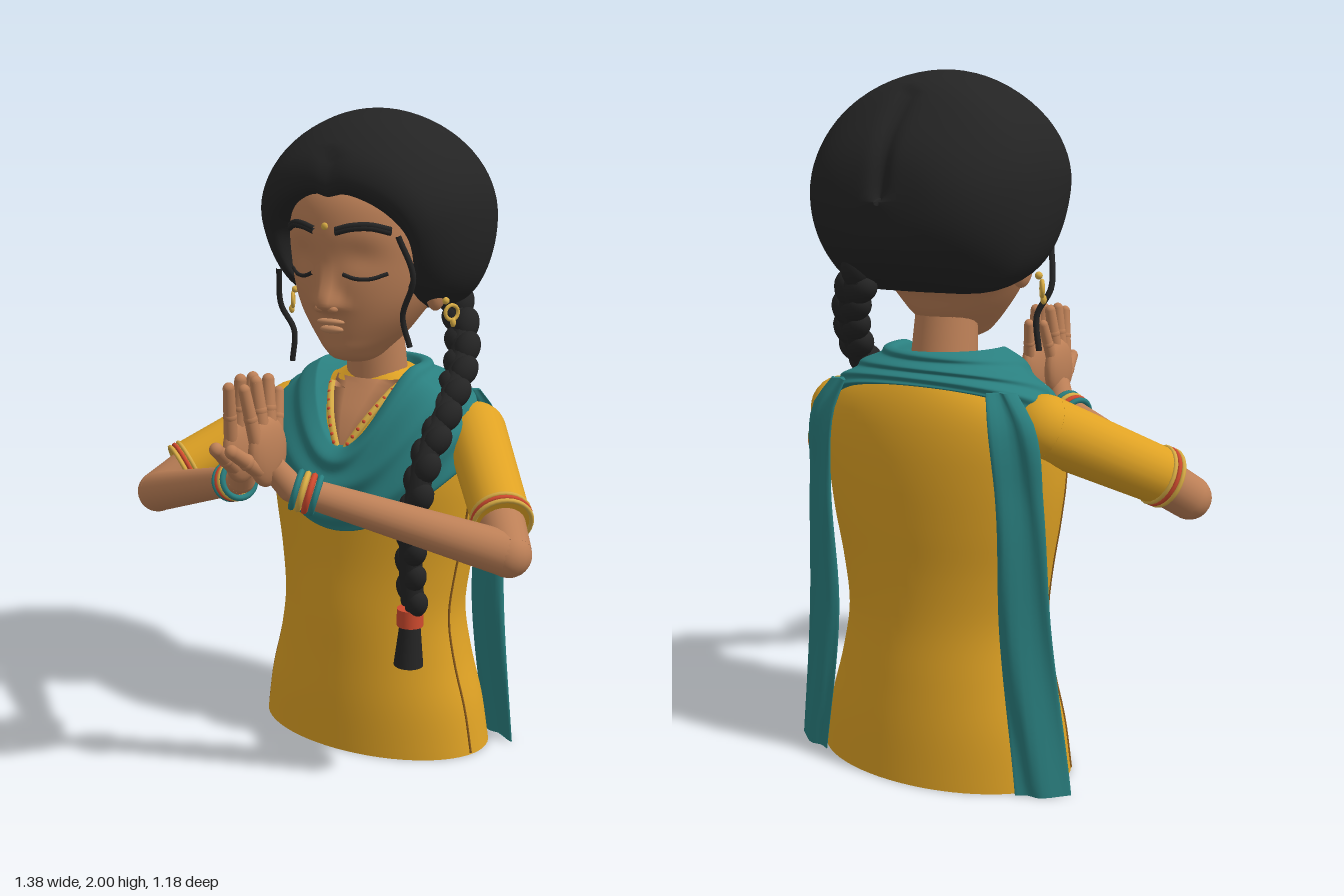
import * as THREE from 'three';

const mat = (name, color, side = THREE.FrontSide) => {
  const m = new THREE.MeshStandardMaterial({ color, side });
  m.name = name;
  return m;
};
const V = (x, y, z) => new THREE.Vector3(x, y, z);
const gauss = (d, w) => Math.exp(-(d * d) / (w * w));

// Smooth interpolation of rows [key, a, b, ...]
function rowCurve(rows) {
  const n = rows[0].length - 1;
  const c = new THREE.CubicInterpolant(
    new Float32Array(rows.map(r => r[0])), new Float32Array(rows.flatMap(r => r.slice(1))), n);
  return t => Array.from(c.evaluate(t));
}

// Skin closed rings of points into a surface, optionally capped
function loft(rings, capStart = false, capEnd = false) {
  const n = rings[0].length, pos = [], idx = [];
  rings.forEach(r => r.forEach(p => pos.push(p.x, p.y, p.z)));
  for (let i = 0; i < rings.length - 1; i++) for (let j = 0; j < n; j++) {
    const k = (j + 1) % n, a = i * n + j, b = i * n + k, c = a + n, d = b + n;
    idx.push(a, b, c, b, d, c);
  }
  const cap = (ring, flip) => {
    const base = pos.length / 3, mid = V(0, 0, 0);
    ring.forEach(p => { pos.push(p.x, p.y, p.z); mid.addScaledVector(p, 1 / n); });
    pos.push(mid.x, mid.y, mid.z);
    for (let j = 0; j < n; j++) {
      const a = base + j, b = base + (j + 1) % n;
      flip ? idx.push(b, a, base + n) : idx.push(a, b, base + n);
    }
  };
  if (capStart) cap(rings[0], true);
  if (capEnd) cap(rings[rings.length - 1], false);
  const g = new THREE.BufferGeometry();
  g.setAttribute('position', new THREE.Float32BufferAttribute(pos, 3));
  g.setIndex(idx);
  g.computeVertexNormals();
  return g;
}
const ringOf = (n, f) => Array.from({ length: n }, (_, j) => f((j / n) * Math.PI * 2));
const steps = (n, f) => Array.from({ length: n + 1 }, (_, i) => f(i / n));

// Rows: height, half width, front z, back z
const torsoAt = rowCurve([
  [0, .4, .01, -.5], [.15, .375, .01, -.49], [.3, .335, .005, -.475], [.45, .313, 0, -.46],
  [.6, .33, -.01, -.46], [.75, .358, -.012, -.47], [.9, .375, -.01, -.475], [1, .37, -.03, -.47],
  [1.08, .33, -.07, -.455], [1.14, .25, -.115, -.43], [1.18, .16, -.145, -.4], [1.21, .1, -.16, -.37]]);
const headAt = rowCurve([
  [1.245, .03, -.09, -.2], [1.26, .06, -.025, -.23], [1.285, .085, .008, -.27], [1.33, .128, .025, -.32],
  [1.39, .175, .04, -.36], [1.45, .21, .052, -.42], [1.55, .236, .062, -.46], [1.65, .24, .07, -.47],
  [1.75, .22, .05, -.45], [1.85, .14, -.03, -.4]]);

// Front surface depth at x, y
function frontZ(at, x, y) {
  const [rx, zf, zb] = at(y);
  return (zf + zb) / 2 + (zf - zb) / 2 * Math.sqrt(Math.max(0, 1 - (x / rx) ** 2));
}
const nose = (x, y) => .05 * gauss(x, .02 + .016 * gauss(y - 1.43, .04)) *
  (y < 1.435 ? gauss(y - 1.435, .02) : gauss(y - 1.435, .085));
const socket = (x, y) => -.012 * gauss(Math.abs(x) - .1, .055) * gauss(y - 1.58, .045);
const faceZ = (x, y) => frontZ(headAt, x, y) + nose(x, y) + socket(x, y);

export function createModel() {
  const model = new THREE.Group();
  model.name = 'prayingWoman';
  const skin = mat('skin', 0xbd8057), lip = mat('lips', 0xc58a60), black = mat('hair', 0x242424);
  const yellow = mat('tunic', 0xdfa224), teal = mat('shawl', 0x2a7f7f, THREE.DoubleSide);
  const red = mat('red', 0xcf4a2e), gold = mat('gold', 0xd9ad45), seam = mat('seam', 0x8a5a1c);

  const add = (name, geo, m, parent = model) => {
    const o = new THREE.Mesh(geo, m);
    o.name = name;
    parent.add(o);
    return o;
  };
  const ball = (name, p, rx, ry, rz, m, parent) => {
    const o = add(name, new THREE.SphereGeometry(1, 20, 14), m, parent);
    o.position.copy(p);
    o.scale.set(rx, ry, rz);
    return o;
  };
  const align = (o, dir, axis) => o.quaternion.setFromUnitVectors(axis, dir.clone().normalize());
  const limb = (name, a, b, r0, r1, m, parent) => {
    const d = b.clone().sub(a);
    const o = add(name, new THREE.CylinderGeometry(r1, r0, d.length(), 24), m, parent);
    o.position.copy(a).addScaledVector(d, .5);
    align(o, d, V(0, 1, 0));
    return o;
  };
  const hoop = (name, p, dir, r, t, m, parent) => {
    const o = add(name, new THREE.TorusGeometry(r, t, 8, 32), m, parent);
    o.position.copy(p);
    align(o, dir, V(0, 0, 1));
    return o;
  };
  const tube = (name, pts, r, m, parent) =>
    add(name, new THREE.TubeGeometry(new THREE.CatmullRomCurve3(pts), 24, r, 8), m, parent);

  // Torso and neck
  const oval = (at, y, bump) => ringOf(64, a => {
    const [rx, zf, zb] = at(y), x = rx * Math.sin(a), c = Math.cos(a);
    return V(x, y, (zf + zb) / 2 + (zf - zb) / 2 * c + (bump && c > 0 ? bump(x, y) : 0));
  });
  add('tunic', loft(steps(40, t => oval(torsoAt, t * 1.21)), true, true), yellow);
  limb('neck', V(0, 1.12, -.25), V(0, 1.36, -.22), .1, .088, skin);

  // Skin in the neckline, with a beaded border
  const vWidth = y => (y - .98) * .55;
  add('neckline', loft(steps(12, t => {
    const y = .985 + t * .2, w = vWidth(y);
    return [-1, -.5, 0, .5, 1, .5, 0, -.5].map((u, i) =>
      V(u * w, y, frontZ(torsoAt, u * w, y) + (i > 4 ? -.01 : .004)));
  })), skin);
  for (const s of [1, -1]) {
    const edge = steps(8, t => {
      const y = .98 + t * .18, x = s * (vWidth(y) + .012);
      return V(x, y, frontZ(torsoAt, x, y) + .002);
    });
    tube('necklineBorder', edge, .012, gold);
    edge.forEach(p => ball('necklineBead', p.clone().add(V(0, 0, .011)), .006, .006, .005, red));
    tube('sideSeam', steps(16, t => {
      const y = .005 + t * .95, [rx, zf, zb] = torsoAt(y);
      return V(s * rx * .97, y, (zf + zb) / 2 + (zf - zb) / 2 * .243);
    }), .004, seam);
  }

  // Draped shawl; rows: step, half width, side y, front y, back y, front z, back z
  const shawlAt = rowCurve([
    [0, .13, 1.19, 1, 1.19, -.06, -.35], [1, .165, 1.235, .985, 1.235, .0, -.39],
    [2, .22, 1.195, .93, 1.215, .03, -.41], [3, .295, 1.125, .86, 1.19, .042, -.425],
    [4, .35, 1.045, .785, 1.17, .04, -.435], [5, .368, .965, .735, 1.15, .02, -.44],
    [6, .335, .95, .745, 1.14, -.04, -.41]]);
  add('shawl', loft(steps(60, t => ringOf(72, a => {
    const [rx, ys, yf, yb, zf, zb] = shawlAt(t * 6), c = Math.cos(a);
    const fold = .009 * Math.sin(t * 30 + Math.sin(a) * 1.5) * Math.sin(t * Math.PI);
    const y = c > 0 ? ys + (yf - ys) * c * c : ys + (yb - ys) * Math.sqrt(-c);
    return V((rx + fold) * Math.sin(a), y, (zf + zb) / 2 + ((zf - zb) / 2 + fold) * c);
  })).reverse()), teal);

  // Shawl ends; rows: height, inner x, inner z, outer x, outer z
  const tailAt = rowCurve([
    [0, .32, -.41, .457, -.345], [.45, .265, -.415, .408, -.355], [.85, .27, -.43, .387, -.365],
    [1.06, .25, -.43, .36, -.38], [1.14, .23, -.4, .3, -.37]]);
  for (const s of [1, -1]) add('shawlEnd', loft(steps(30, t => {
    const y = t * 1.14, [xi, zi, xo, zo] = tailAt(y);
    return ringOf(24, a => {
      const u = .5 + .5 * Math.cos(a);
      const wave = .01 * Math.sin(u * 8 + y * 4) + .013 * Math.sin(a);
      return V(s * (xi + (xo - xi) * u + wave * .3), y, zi + (zo - zi) * u + wave);
    });
  }), true, true), teal);

  // Head and face
  const head = new THREE.Group();
  head.name = 'head';
  model.add(head);
  add('face', loft(steps(70, t => oval(headAt, 1.245 + t * .605, (x, y) => nose(x, y) + socket(x, y))),
    true, true), skin, head);
  ball('upperLip', V(0, 1.383, .036), .048, .011, .016, lip, head);
  ball('lowerLip', V(0, 1.36, .03), .04, .013, .018, lip, head);
  ball('foreheadDot', V(0, 1.665, faceZ(0, 1.665)), .011, .011, .007, gold, head);
  for (const s of [1, -1]) {
    const onFace = (x, y) => V(s * x, y, faceZ(x, y) + .002);
    [0, .008].forEach(h => tube('eyebrow', [onFace(.035, 1.648 + h), onFace(.08, 1.66 + h),
      onFace(.13, 1.662 + h), onFace(.175, 1.648 + h)], .009, black, head));
    tube('eyelashes', [onFace(.052, 1.528), onFace(.085, 1.516), onFace(.125, 1.515), onFace(.165, 1.53)],
      .006, black, head);
    ball('nostril', V(s * .022, 1.425, .06), .016, .013, .018, skin, head);
    ball('ear', V(s * .225, 1.47, -.2), .03, .065, .045, skin, head);
    hoop('earring', V(s * .285, 1.405, -.19), V(1, 0, s * .6), .022, .006, gold, head);
    ball('earringStud', V(s * .27, 1.44, -.18), .011, .011, .011, gold, head);
    ball('earringDrop', V(s * .29, 1.375, -.19), .009, .014, .009, gold, head);
  }

  // Hair; rows: step, half width, top y, bottom y, top z, bottom z
  const hairAt = rowCurve([
    [0, .19, 1.73, 1.46, -.03, -.2], [1, .238, 1.775, 1.46, .058, -.1], [2, .285, 1.86, 1.455, .045, -.1],
    [3, .325, 1.94, 1.425, -.04, -.15], [4, .345, 1.985, 1.405, -.14, -.23], [5, .345, 2, 1.395, -.25, -.33],
    [6, .325, 1.962, 1.41, -.39, -.42], [7, .265, 1.87, 1.465, -.49, -.515], [8, .165, 1.775, 1.54, -.555, -.57],
    [9, .01, 1.66, 1.64, -.585, -.585]]);
  add('hair', loft(steps(54, t => ringOf(72, a => {
    const [w, yt, yb, zt, zb] = hairAt(t * 9), c = Math.cos(a), s = Math.sin(a);
    const x = w * Math.sign(c) * Math.abs(c) ** (s < 0 ? .4 + .6 * Math.max(0, t - .6) / .4 : 1);
    const peak = t < .25 ? -.02 * gauss(x, .03) * Math.max(0, s) : 0;
    const groove = t > .7 ? .018 * gauss(x, .025) * Math.max(0, s) : 0;
    return V(x, (yt + yb) / 2 + (yt - yb) / 2 * s + peak, (zt + zb) / 2 + (zt - zb) / 2 * s + groove);
  })).reverse(), true, true), black, head);
  tube('hairStrand', [V(-.25, 1.52, -.06), V(-.27, 1.4, -.1), V(-.235, 1.32, -.12), V(-.245, 1.22, -.125)],
    .009, black, head);
  tube('hairStrand', [V(.2, 1.64, -.01), V(.235, 1.52, -.04), V(.19, 1.4, -.06), V(.21, 1.31, -.07)],
    .009, black, head);

  // Braid of overlapping locks
  const braid = new THREE.Group();
  braid.name = 'braid';
  model.add(braid);
  const path = new THREE.CatmullRomCurve3([V(.13, 1.45, -.47), V(.2, 1.37, -.41), V(.265, 1.24, -.3),
    V(.29, 1.1, -.14), V(.285, .97, -.03), V(.265, .78, 0), V(.25, .65, -.02), V(.25, .53, -.035)]);
  add('braidCore', new THREE.TubeGeometry(path, 60, .036, 12), black, braid);
  const locks = 26;
  for (let i = 0; i <= locks; i++) {
    const t = i / locks, s = i % 2 ? 1 : -1, dir = path.getTangentAt(t);
    const across = V(1, 0, .4).cross(dir).cross(dir).normalize();
    const r = .043 - .008 * t;
    const o = ball('lock', path.getPointAt(t).addScaledVector(across, s * .018), r, r * 1.35, r, black, braid);
    align(o, dir.clone().addScaledVector(across, -s * .5), V(0, 1, 0));
  }
  limb('hairTie', V(.242, .455, -.035), V(.242, .51, -.035), .041, .041, red, braid);
  limb('braidTail', V(.238, .325, -.035), V(.242, .46, -.035), .046, .032, black, braid);

  // Arms with hands pressed together
  for (const s of [1, -1]) {
    const arm = new THREE.Group();
    arm.name = s > 0 ? 'leftArm' : 'rightArm';
    model.add(arm);
    const P = (x, y, z) => V(s * x, y, z);
    const shoulder = P(.335, 1.03, -.27), cuff = P(.575, .852, .035);
    const elbow = P(.626, .786, .1), wrist = P(.085, .965, .38);
    const upper = cuff.clone().sub(shoulder), fore = wrist.clone().sub(elbow);
    ball('shoulder', shoulder, .094, .094, .094, yellow, arm);
    limb('sleeve', shoulder, cuff, .094, .084, yellow, arm);
    [[.93, gold], [.965, red], [1, gold]].forEach(([t, m]) =>
      hoop('cuffTrim', shoulder.clone().addScaledVector(upper, t), upper, .084, .007, m, arm));
    limb('upperArm', shoulder.clone().lerp(cuff, .8), elbow, .07, .066, skin, arm);
    ball('elbow', elbow, .066, .066, .066, skin, arm);
    limb('forearm', elbow, wrist, .065, .04, skin, arm);
    [teal, red, gold, teal].forEach((m, i) =>
      hoop('bangle', elbow.clone().addScaledVector(fore, .885 + i * .03), fore, .052, .009, m, arm));
    limb('wrist', wrist, P(.05, 1.03, .42), .04, .036, skin, arm);
    ball('wristJoint', wrist, .04, .04, .04, skin, arm);
    ball('palm', P(.043, 1.075, .432), .034, .1, .08, skin, arm);
    [[.475, 1.03, .575, 1.1, .021], [.485, 1.11, .513, 1.258, .018], [.452, 1.13, .458, 1.272, .019],
      [.418, 1.13, .4, 1.27, .019], [.385, 1.11, .35, 1.228, .017]].forEach(([z0, y0, z1, y1, r], i) => {
      const a = P(.042, y0, z0), b = P(.026, y1, z1);
      limb(i ? 'finger' : 'thumb', a, b, r * 1.1, r * .9, skin, arm);
      ball('fingertip', b, r * .9, r * .95, r * .9, skin, arm);
      ball('knuckle', a.clone().lerp(b, .45), r * 1.08, r * 1.15, r * 1.08, skin, arm);
    });
  }
  return model;
}
